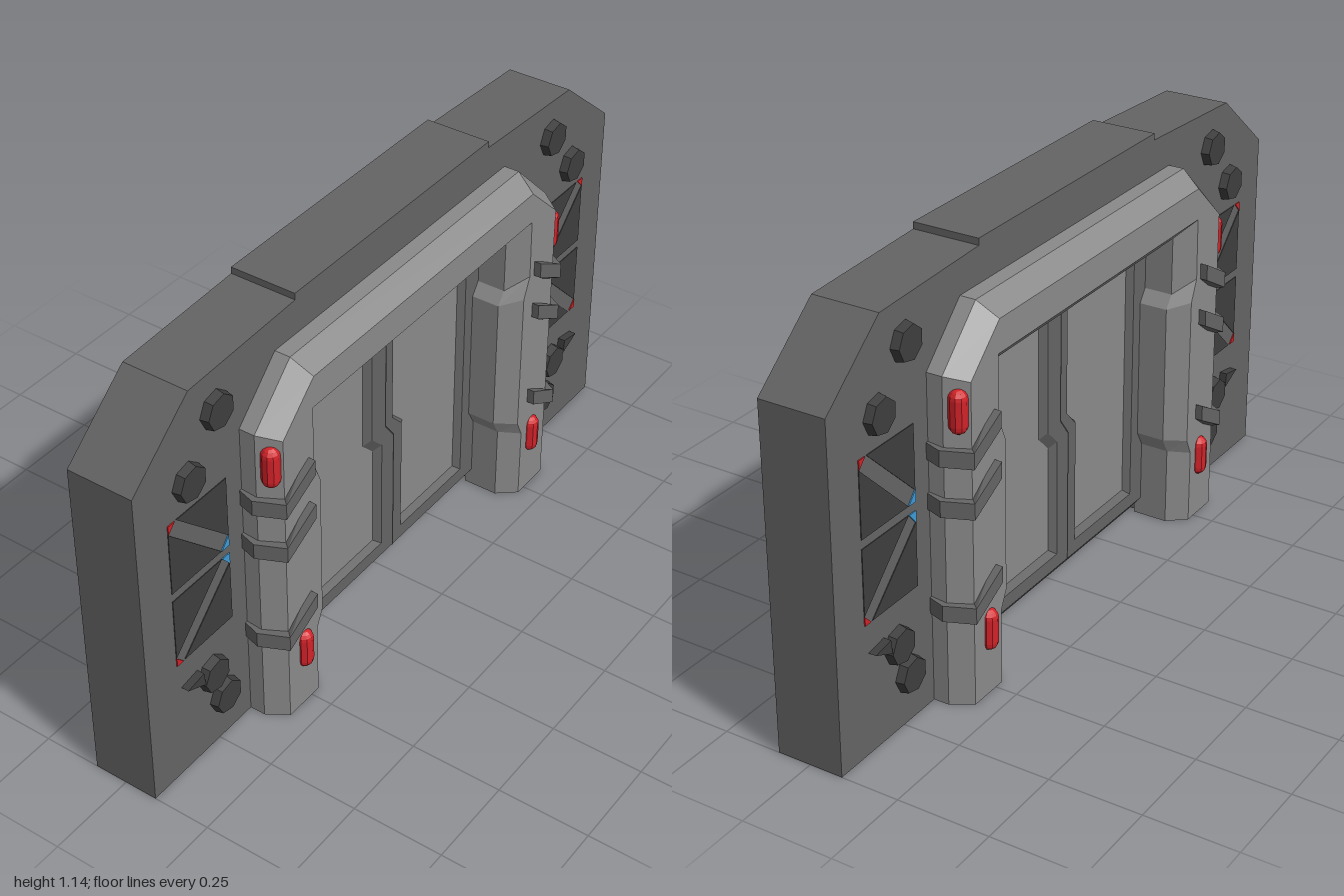
import * as THREE from 'three';

const mat = (name, color) => {
  const m = new THREE.MeshStandardMaterial({ color, side: THREE.DoubleSide, flatShading: true });
  m.name = name;
  return m;
};

export function createModel() {
  const wallGrey = mat('wallGrey', 0x646464);
  const frameGrey = mat('frameGrey', 0x8a8a8a);
  const darkGrey = mat('darkGrey', 0x3e3e3e);
  const red = mat('red', 0xd02228);
  const blue = mat('blue', 0x3f9ad6);

  const model = new THREE.Group();
  model.name = 'slidingDoorWall';

  const add = (parent, name, geo, material) => {
    const mesh = new THREE.Mesh(geo, material);
    mesh.name = name;
    parent.add(mesh);
    return mesh;
  };
  const shapeOf = pts => new THREE.Shape(pts.map(p => new THREE.Vector2(p[0], p[1])));

  // Outline given as (z, y), solid between x0 and x1
  const plate = (pts, x0, x1) =>
    new THREE.ExtrudeGeometry(shapeOf(pts), { depth: x1 - x0, bevelEnabled: false })
      .rotateY(-Math.PI / 2).translate(x1, 0, 0);

  // Flat face at x, outline as (z, y), with optional holes
  const face = (pts, x, holes = []) => {
    const s = shapeOf(pts);
    s.holes = holes.map(h => new THREE.Path(h.map(p => new THREE.Vector2(p[0], p[1]))));
    return new THREE.ShapeGeometry(s).rotateY(Math.PI / 2).scale(1, 1, -1).translate(x, 0, 0);
  };

  // Quads between successive rings of [x, y, z] points
  const loft = (rings, closed = false, caps = false) => {
    const v = [];
    const quad = (a, b, c, d) => v.push(...a, ...b, ...c, ...a, ...c, ...d);
    for (let i = 0; i + 1 < rings.length; i++) {
      const a = rings[i], b = rings[i + 1], n = a.length;
      for (let j = 0; j < (closed ? n : n - 1); j++) {
        const k = (j + 1) % n;
        quad(a[j], a[k], b[k], b[j]);
      }
    }
    if (caps) for (const r of [[...rings[0]].reverse(), rings[rings.length - 1]]) quad(...r);
    const g = new THREE.BufferGeometry();
    g.setAttribute('position', new THREE.Float32BufferAttribute(v, 3));
    g.computeVertexNormals();
    return g;
  };

  // Drop the faces lying on the ground so that the shell is open below
  const openBase = geo => {
    const g = geo.index ? geo.toNonIndexed() : geo;
    const p = g.attributes.position, v = [];
    for (let i = 0; i < p.count; i += 3) {
      if (Math.max(p.getY(i), p.getY(i + 1), p.getY(i + 2)) < 0.001) continue;
      for (let k = i; k < i + 3; k++) v.push(p.getX(k), p.getY(k), p.getZ(k));
    }
    const out = new THREE.BufferGeometry();
    out.setAttribute('position', new THREE.Float32BufferAttribute(v, 3));
    out.computeVertexNormals();
    return out;
  };

  // Wall with a doorway notch and a raised centre on top
  const half = [[0.445, 0], [1, 0], [1, 0.935], [0.795, 1.105], [0.405, 1.122], [0.405, 1.14]];
  const mirror = pts => pts.map(([z, y]) => [-z, y]).reverse();
  const outline = [[0.445, 0.875], ...half, ...mirror(half), [-0.445, 0.875]];
  add(model, 'wall', openBase(plate(outline, -0.092, 0.092)), wallGrey);

  const buildSide = () => {
    const side = new THREE.Group();

    // Door surround, from its outer foot over the face to the inner jamb
    const outer = [[0.625, 0], [0.625, 0.21], [0.625, 0.257], [0.625, 0.67], [0.625, 0.89], [0.485, 1.027]];
    const brow = [[0.59, 0], [0.59, 0.21], [0.59, 0.257], [0.59, 0.67], [0.59, 0.875], [0.47, 0.987]];
    const inner = [[0.472, 0], [0.472, 0.21], [0.45, 0.257], [0.45, 0.67], [0.475, 0.73], [0.475, 0.90]];
    const jamb = [[0.43, 0], [0.43, 0.22], [0.405, 0.265], [0.405, 0.655], [0.43, 0.69], [0.43, 0.85]];
    const ring = (pts, x) => [...pts, ...mirror(pts)].map(([z, y]) => [x, y, z]);
    add(side, 'doorSurround', loft([
      ring(outer, 0.09), ring(outer, 0.135), ring(brow, 0.19),
      ring(inner, 0.19), ring(jamb, 0.14), ring(jamb, 0.04),
    ]), frameGrey);

    // Two door leaves meeting at a stepped seam
    const doorX = 0.06, panelX = 0.045;
    const seam = [[0, 0.86], [0, 0.48], [-0.037, 0.43], [-0.037, 0.05]];
    const leaves = [
      { name: 'leafA', edge: 0.44,
        rim: [[0.38, 0.805], [0.055, 0.805], [0.055, 0.47], [0.01, 0.425], [0.01, 0.09], [0.38, 0.09]],
        panel: [[0.358, 0.785], [0.075, 0.785], [0.075, 0.455], [0.03, 0.41], [0.03, 0.107], [0.358, 0.107]] },
      { name: 'leafB', edge: -0.44,
        rim: [[-0.37, 0.805], [-0.037, 0.805], [-0.037, 0.485], [-0.08, 0.44], [-0.08, 0.09], [-0.37, 0.09]],
        panel: [[-0.352, 0.785], [-0.057, 0.785], [-0.057, 0.475], [-0.102, 0.43], [-0.102, 0.107], [-0.352, 0.107]] },
    ];
    for (const { name, edge, rim, panel } of leaves) {
      const leaf = new THREE.Group();
      leaf.name = name;
      add(leaf, 'leafFrame', face([[edge, 0.86], ...seam, [edge, 0.05]], doorX, [rim]), wallGrey);
      const at = (pts, x) => pts.map(([z, y]) => [x, y, z]);
      add(leaf, 'panelBevel', loft([at(rim, doorX), at(panel, panelX)], true), wallGrey);
      add(leaf, 'panel', face(panel, panelX), frameGrey);
      side.add(leaf);
    }
    const seamRight = seam.map(([z, y]) => [z - 0.005, y]).reverse();
    add(side, 'doorSeam', face([...seam, ...seamRight], doorX + 0.002), darkGrey);
    add(side, 'doorFoot', loft([
      [[doorX, 0.05, 0.43], [doorX, 0.05, -0.43]], [[0.02, 0, 0.43], [0.02, 0, -0.43]],
    ]), wallGrey);

    for (const s of [1, -1]) {
      const end = new THREE.Group();
      end.name = s > 0 ? 'endA' : 'endB';

      // Slanted clamps wrapping each post
      for (const y of [0.265, 0.55, 0.683]) {
        const path = [[0.09, 0.632, 0.6, 0.008, 0.09], [0.135, 0.643, 0.6, 0.004, 0.125],
          [0.207, 0.605, 0.575, 0, 0.175], [0.21, 0.495, 0.495, 0.062, 0.18]];
        const rings = path.map(([x, z, zi, dy, xi]) => [
          [x, y + dy - 0.022, s * z], [x, y + dy + 0.022, s * z],
          [xi, y + dy + 0.022, s * zi], [xi, y + dy - 0.022, s * zi]]);
        add(end, 'clamp', loft(rings, true, true), wallGrey);
      }

      // Red lamps
      const lamp = () => new THREE.CapsuleGeometry(0.024, 0.067, 4, 10);
      add(end, 'upperLamp', lamp(), red).position.set(0.165, 0.802, s * 0.606);
      add(end, 'lowerLamp', lamp(), red).position.set(0.187, 0.182, s * 0.523);

      // Bolts
      for (const [z, y] of [[0.71, 1.003], [0.818, 0.868], [0.77, 0.24], [0.73, 0.138]]) {
        const bolt = new THREE.CylinderGeometry(0.046, 0.053, 0.035, 7).rotateZ(-Math.PI / 2);
        add(end, 'bolt', bolt, darkGrey).position.set(0.097, y, s * z);
      }
      add(end, 'wedge', plate([[0.88, 0.275], [0.82, 0.285], [0.815, 0.245]].map(([z, y]) => [s * z, y]),
        0.085, 0.113), darkGrey);

      // Dark triangular inlays with red and blue corner marks
      for (const f of [1, -1]) {
        const tri = (name, pts, material, x) =>
          add(end, name, plate(pts.map(([z, dy]) => [s * z, 0.57 + f * dy]), 0.091, x), material);
        tri('inlay', [[0.862, 0.215], [0.682, 0.215], [0.682, 0.042]], darkGrey, 0.094);
        tri('inlay', [[0.892, 0.19], [0.892, 0.012], [0.71, 0.012]], darkGrey, 0.094);
        tri('redCorner', [[0.892, 0.215], [0.868, 0.215], [0.892, 0.19]], red, 0.095);
        tri('blueCorner', [[0.682, 0.012], [0.71, 0.012], [0.682, 0.045]], blue, 0.095);
      }
      side.add(end);
    }
    return side;
  };

  // The same door face on both sides, turned half a circle
  for (const i of [0, 1]) {
    const side = buildSide();
    side.name = i ? 'rightFace' : 'leftFace';
    side.rotation.y = i * Math.PI;
    model.add(side);
  }
  return model;
}
